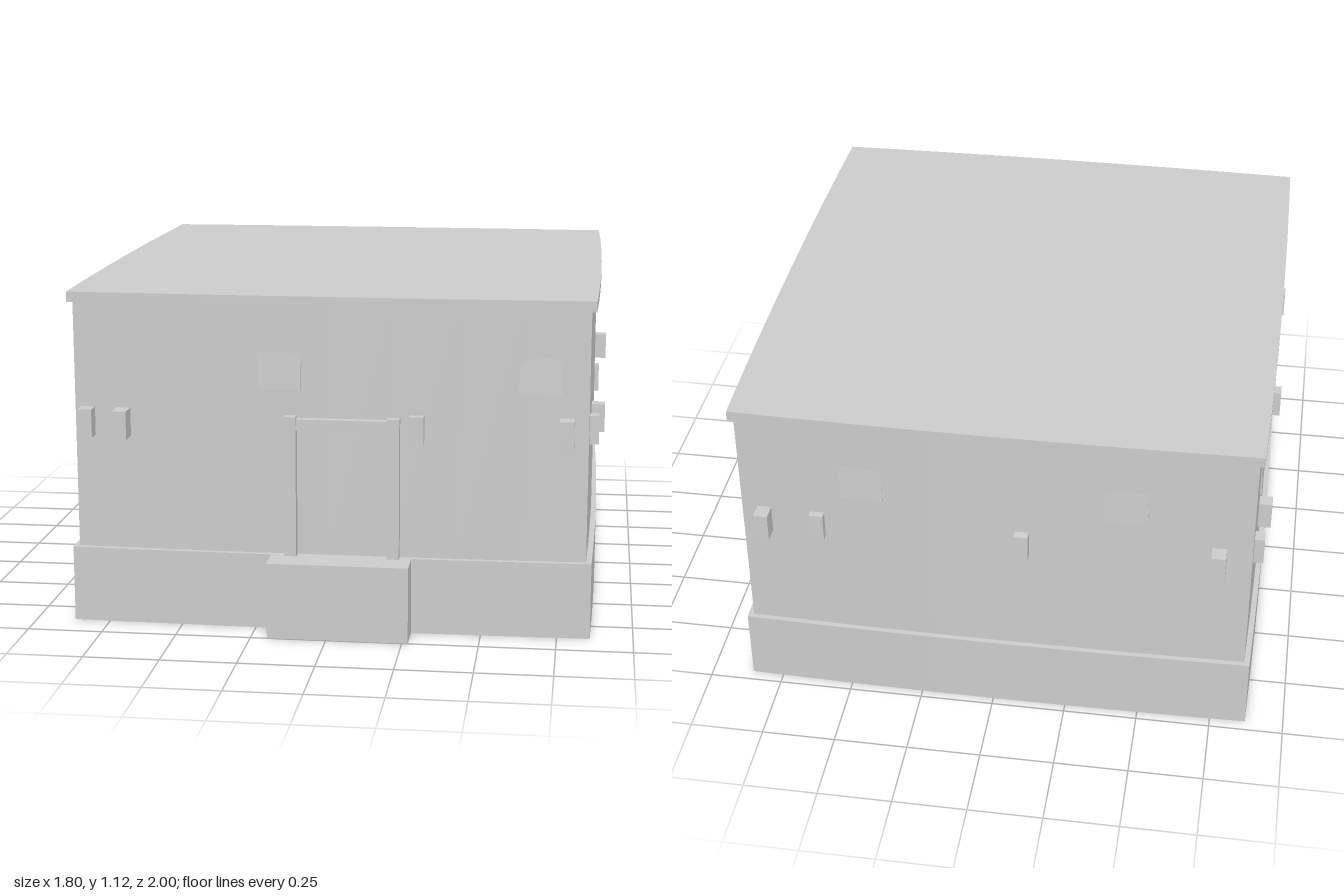
import * as THREE from 'three';

const material = new THREE.MeshStandardMaterial({ color: 0xcccccc, flatShading: true, side: THREE.DoubleSide });

// Footprint of the building: a rectangle whose sides bow out slightly
const CX = -0.006, CZ = -0.04, HX = 0.8625, HZ = 0.918, BOW = 0.012, STEPS = 8;
const WALL_INSET = 0.016;
const bow = (u) => BOW * (1 - u * u);

function outline(inset, y) {
  const hx = HX - inset, hz = HZ - inset;
  const points = [];
  for (let side = 0; side < 4; side++) {
    for (let i = 0; i < STEPS; i++) {
      const u = -1 + (2 * i) / STEPS, b = bow(u);
      const [x, z] = [
        [u * hx, hz + b], [hx + b, -u * hz], [-u * hx, -hz - b], [-hx - b, u * hz],
      ][side];
      points.push([CX + x, y, CZ + z]);
    }
  }
  return points;
}

// Joins rings of points from bottom to top; the last ring may be closed to a centre
function shell(rings, capped = false) {
  const pos = [];
  const n = rings[0].length;
  for (let i = 0; i < n; i++) {
    const j = (i + 1) % n;
    for (let r = 0; r < rings.length - 1; r++) {
      const lo = rings[r], hi = rings[r + 1];
      pos.push(...lo[i], ...lo[j], ...hi[j], ...lo[i], ...hi[j], ...hi[i]);
    }
    if (capped) {
      const top = rings[rings.length - 1];
      pos.push(...top[i], ...top[j], CX, top[i][1], CZ);
    }
  }
  const g = new THREE.BufferGeometry();
  g.setAttribute('position', new THREE.Float32BufferAttribute(pos, 3));
  g.computeVertexNormals();
  return g;
}

export function createModel() {
  const model = new THREE.Group();
  model.name = 'house';

  const add = (name, geometry, parent = model) => {
    const mesh = new THREE.Mesh(geometry, material);
    mesh.name = name;
    parent.add(mesh);
    return mesh;
  };
  const block = (name, x0, x1, y0, y1, z0, z1, parent) => {
    const mesh = add(name, new THREE.BoxGeometry(x1 - x0, y1 - y0, z1 - z0), parent);
    mesh.position.set((x0 + x1) / 2, (y0 + y1) / 2, (z0 + z1) / 2);
    return mesh;
  };

  // Hollow shell, open underneath
  add('plinth', shell([outline(-0.002, 0), outline(-0.002, 0.255), outline(WALL_INSET, 0.255)]));
  add('walls', shell([outline(WALL_INSET, 0.255), outline(WALL_INSET, 1.085)]));
  add('roof', shell([outline(WALL_INSET, 1.085), outline(0, 1.085), outline(0, 1.12)], true));

  // Doorstep without bottom or back
  const step = block('doorstep', -0.195, 0.27, 0, 0.255, 0.83, 1.0);
  const faces = Array.from(step.geometry.index.array);
  step.geometry.setIndex([...faces.slice(0, 18), ...faces.slice(24, 30)]);
  step.geometry.clearGroups();

  // Door frame
  const frame = new THREE.Group();
  frame.name = 'doorFrame';
  model.add(frame);
  block('rightJamb', -0.15, -0.11, 0.255, 0.725, 0.85, 0.905, frame);
  block('leftJamb', 0.19, 0.23, 0.255, 0.725, 0.85, 0.905, frame);
  block('lintel', -0.11, 0.19, 0.68, 0.717, 0.85, 0.9, frame);

  // Beam ends: position along the wall and reach of the outer tip
  const LENGTH = 0.24, W = 0.047, Y0 = 0.64, Y1 = 0.735;
  const beams = {
    front: [[-0.81, 0.915], [-0.69, 0.935], [0.285, 0.906], [0.77, 0.92]],
    back: [[-0.745, 1.0], [-0.1, 0.985], [0.585, 0.972], [0.765, 1.0]],
    left: [[-0.73, 0.895], [-0.075, 0.868], [0.605, 0.89], [0.79, 0.872]],
    right: [[-0.86, 0.887], [-0.67, 0.902], [-0.015, 0.902], [0.665, 0.887]],
  };
  for (const [side, list] of Object.entries(beams)) {
    const sign = side === 'front' || side === 'left' ? 1 : -1;
    const alongX = side === 'front' || side === 'back';
    list.forEach(([at, tip], i) => {
      const ends = [sign * tip, sign * (tip - LENGTH)].sort((a, b) => a - b);
      const across = [at - W / 2, at + W / 2];
      const [x, z] = alongX ? [across, ends] : [ends, across];
      block(`${side}Beam${i + 1}`, ...x, Y0, Y1, ...z);
    });
  }

  // Shallow window panels, leaning so that only the lower part stands proud
  const panel = (name, x, z, angle) => {
    const mesh = add(name, new THREE.BoxGeometry(0.14, 0.12, 0.006));
    mesh.position.set(x, 0.87, z);
    mesh.rotation.set(-0.04, angle, 0, 'YXZ');
  };
  const hz = HZ - WALL_INSET, hx = HX - WALL_INSET;
  [-0.167, 0.683].forEach((x, i) =>
    panel(`frontWindow${i + 1}`, x, CZ + hz + bow((x - CX) / hx), 0));
  [-0.44, 0.43].forEach((x, i) =>
    panel(`backWindow${i + 1}`, x, CZ - hz - bow((x - CX) / hx), Math.PI));
  [-0.67, -0.4, -0.14, 0.18, 0.42, 0.68].forEach((z, i) =>
    panel(`rightWindow${i + 1}`, CX - hx - bow((z - CZ) / hz), z, -Math.PI / 2));

  return model;
}
